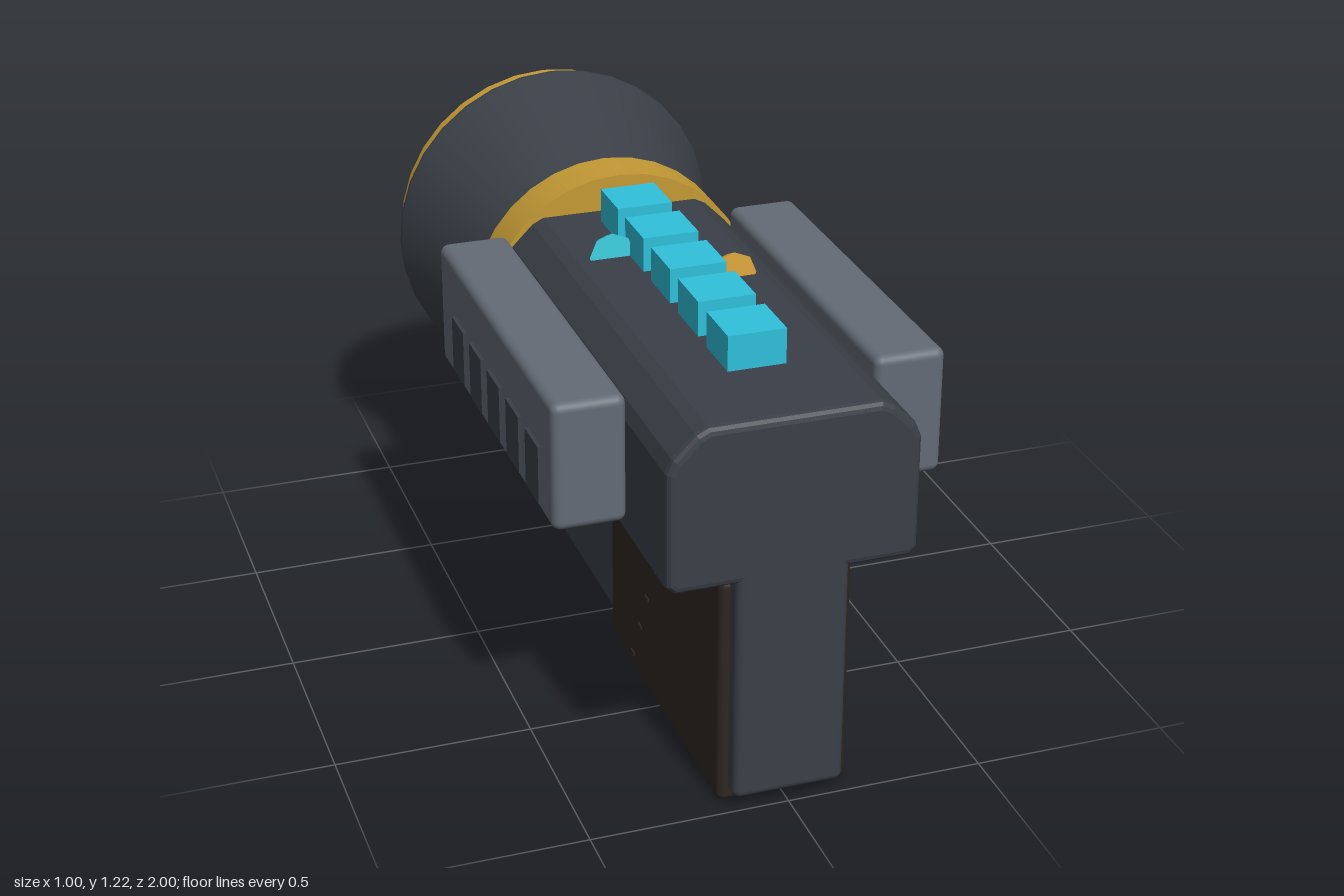
import * as THREE from 'three';
import { RoundedBoxGeometry } from 'three/addons/geometries/RoundedBoxGeometry.js';

const mat = (color, extra = {}) => new THREE.MeshStandardMaterial({ color, ...extra });
const DARK = mat(0x3a3f47), GREY = mat(0x636b75), GOLD = mat(0xc49a35);
const TEAL = mat(0x2fc0da), BROWN = mat(0x2e2723);
const GOLD_FLAT = mat(0xe0a83c, { flatShading: true }), TEAL_FLAT = mat(0x3fd2e2, { flatShading: true });
const AXIS_Y = 0.76; // height of the lamp axis

export function createModel() {
  const group = new THREE.Group();
  const add = (name, geometry, material) => {
    const mesh = new THREE.Mesh(geometry, material);
    mesh.name = name;
    group.add(mesh);
    return mesh;
  };
  // box given by its limits, with optional rounded edges
  const box = (name, [x0, x1], [y0, y1], [z0, z1], material, r = 0) => {
    const s = [x1 - x0, y1 - y0, z1 - z0];
    const g = r ? new RoundedBoxGeometry(...s, 3, r) : new THREE.BoxGeometry(...s);
    g.translate((x0 + x1) / 2, (y0 + y1) / 2, (z0 + z1) / 2);
    return add(name, g, material);
  };
  // symmetric cross-section (right half, bottom to top) extruded along z
  const prism = (name, half, z0, z1, material, bevel = 0) => {
    const pts = [...half, ...half.map(([x, y]) => [-x, y]).reverse()];
    const g = new THREE.ExtrudeGeometry(new THREE.Shape(pts.map(p => new THREE.Vector2(...p))), {
      depth: z1 - z0 - 2 * bevel, bevelEnabled: bevel > 0, bevelSize: bevel,
      bevelThickness: bevel, bevelOffset: -bevel, bevelSegments: 3,
    });
    g.translate(0, 0, z0 + bevel);
    return add(name, g, material);
  };
  // turned part on the lamp axis; points are [radius, z] running from front to back
  const turned = (name, pts, material) => {
    // each straight run is its own band, so edges stay sharp
    for (let i = 0; i + 1 < pts.length; i++) {
      const g = new THREE.LatheGeometry(
        [pts[i], pts[i + 1]].map(([r, z]) => new THREE.Vector2(r, -z)), 32);
      g.rotateX(-Math.PI / 2).translate(0, AXIS_Y, 0);
      add(name, g, material);
    }
  };

  // main housing with chamfered shoulders
  prism('body', [[0.29, 0.62], [0.31, 0.64], [0.31, 0.93], [0.295, 0.965], [0.24, 1.02], [0.21, 1.035]],
    -0.32, 1, DARK, 0.02);

  // handle block, grip and the flared support below the housing
  box('handleFront', [-0.14, 0.14], [0.03, 0.68], [0.1, 1], DARK, 0.02);
  box('handleRear', [-0.14, 0.14], [0.03, 0.5], [-0.395, 0.2], DARK, 0.02);
  box('grip', [-0.165, 0.165], [0, 0.61], [0.12, 0.955], BROWN, 0.02);
  prism('support', [[0.14, 0.46], [0.168, 0.49], [0.17, 0.585], [0.205, 0.625], [0.205, 0.7]], -0.42, 0.205, DARK);
  for (const side of [-1, 1])
    for (let i = 0; i < 5; i++) {
      const x = side * 0.166, y = 0.05 + i * 0.112, z = 0.31 + i * 0.057;
      box('gripStud', [x - 0.003, x + 0.003], [y - 0.005, y + 0.005], [z - 0.012, z + 0.012], BROWN);
    }

  // collar, horn and lamp head
  turned('collar', [[0, -0.3], [0.37, -0.3], [0.37, -0.43], [0, -0.43]], GOLD);
  turned('horn', [[0.275, -0.42], [0.455, -0.905], [0.455, -0.915], [0.4, -0.915]], DARK);
  turned('lampRim', [[0.43, -0.9], [0.43, -1], [0.365, -1], [0.365, -0.98]], GOLD);
  turned('lampGlowRing', [[0.37, -0.985], [0.335, -0.985]], TEAL);
  turned('lampInnerRing', [[0.335, -0.98], [0.335, -0.995], [0.255, -0.995], [0.255, -0.98]], GOLD);
  turned('lampGroove', [[0.26, -0.982], [0.235, -0.982]], DARK);
  turned('lampPlate', [[0.24, -0.98], [0.24, -0.995], [0, -0.995]], GOLD);
  turned('lampCentre', [[0.075, -0.99], [0.075, -0.999], [0, -0.999]], TEAL);

  // side pods with windows, and the rods that brace the horn
  for (const side of [-1, 1]) {
    const span = (a, b) => [Math.min(side * a, side * b), Math.max(side * a, side * b)];
    box('sidePod', span(0.31, 0.492), [0.67, 1], [-0.305, 0.715], GREY, 0.022);
    for (let i = 0; i < 5; i++) {
      const z = -0.1 + i * 0.168;
      box('podWindow', span(0.46, 0.502), [0.705, 0.855], [z - 0.055, z + 0.055], DARK);
    }
    const rod = new THREE.CapsuleGeometry(0.033, 0.34, 6, 12);
    rod.rotateX(Math.PI / 2).translate(side * 0.348, AXIS_Y + 0.005, -0.49);
    add('braceRod', rod, GOLD);
  }

  // row of light blocks on top
  for (let i = 0; i < 5; i++) {
    const z = -0.157 + i * 0.205;
    box('topLight', [-0.073, 0.073], [1, 1.125], [z - 0.073, z + 0.073], TEAL);
  }

  // small tapered dials half sunk into the top
  const dial = (name, x, z, material) => {
    const g = new THREE.CylinderGeometry(0.06, 0.035, 0.05, 8);
    g.rotateX(Math.PI / 2).translate(x, 1.042, z);
    add(name, g, material);
  };
  dial('goldDial', 0.13, 0.2, GOLD_FLAT);
  dial('tealDial', -0.12, -0.012, TEAL_FLAT);

  return group;
}
